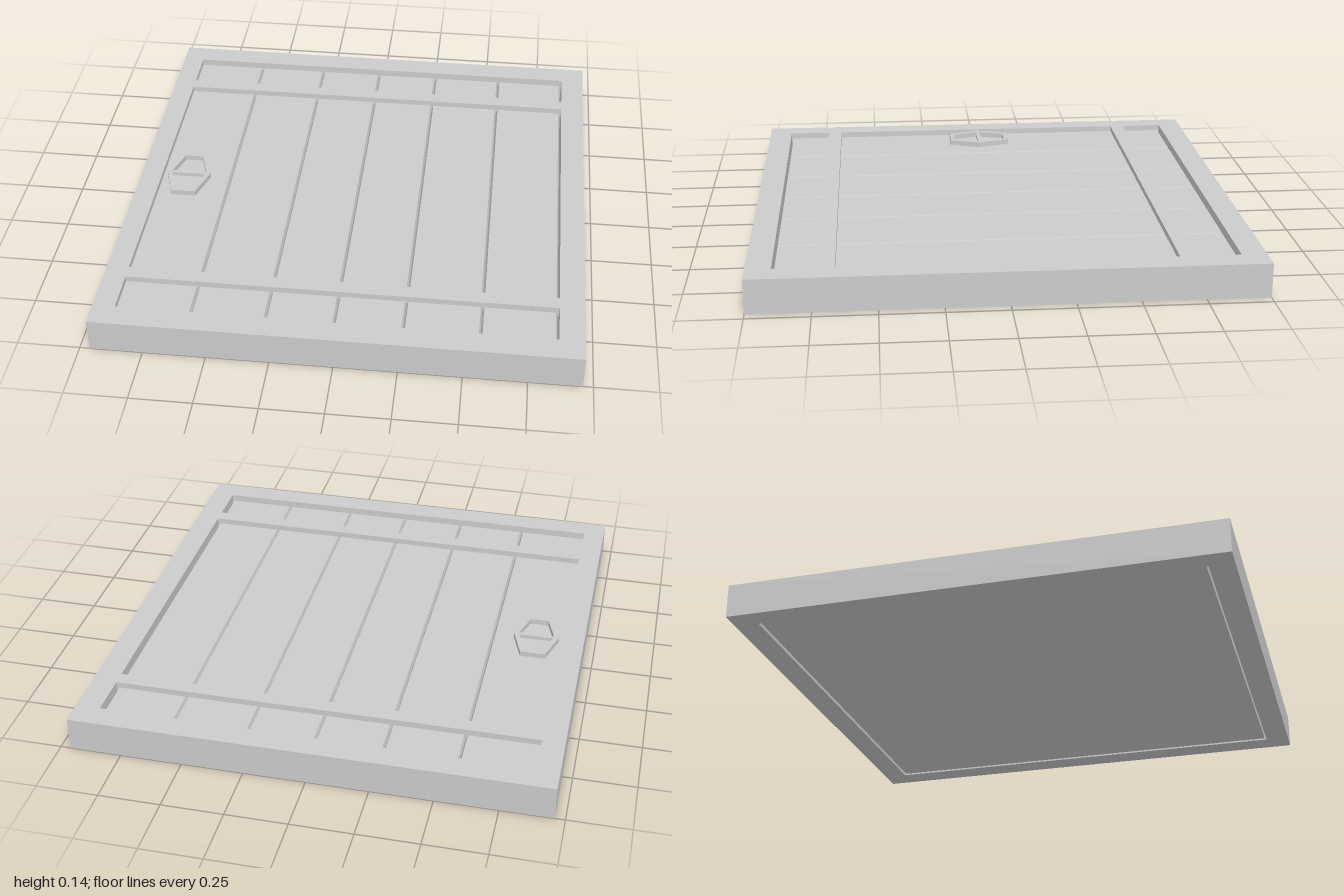
import * as THREE from 'three';

const grey = new THREE.MeshStandardMaterial({ color: 0xcccccc, flatShading: true });

const polygon = (pts, Type = THREE.Shape) => new Type(pts.map(([x, y]) => new THREE.Vector2(x, y)));
const rectangle = (x0, x1, z0, z1) => [[x0, z0], [x1, z0], [x1, z1], [x0, z1]];

// A plan shape (x, z) with holes, raised from y0 to y1
function plate(name, outline, holes, y0, y1) {
  const shape = polygon(outline);
  shape.holes = holes.map((h) => polygon(h, THREE.Path));
  const geo = new THREE.ExtrudeGeometry(shape, { depth: y1 - y0, bevelEnabled: false });
  geo.rotateX(-Math.PI / 2).translate(0, y0, 0);
  const mesh = new THREE.Mesh(geo, grey);
  mesh.name = name;
  return mesh;
}

export function createModel() {
  const model = new THREE.Group();
  model.name = 'trapdoor';
  const height = 0.14, plankTop = 0.115;

  // Border frame and its two cross battens share one level top
  model.add(plate('frame', rectangle(-0.96, 0.96, -1, 1),
    [rectangle(-0.87, 0.86, -0.9, 0.9)], 0, height));
  for (const side of [-1, 1]) {
    const batten = new THREE.Mesh(new THREE.BoxGeometry(1.73, height - plankTop + 0.02, 0.06), grey);
    batten.name = side < 0 ? 'backBatten' : 'frontBatten';
    batten.position.set(-0.005, height - (height - plankTop + 0.02) / 2, side * 0.69);
    model.add(batten);
  }

  // Planks: one flat-backed panel with V grooves along the joints
  const joints = [-0.575, -0.28, -0.01, 0.26, 0.56];
  const bottom = 0.005, groove = 0.007, depth = 0.018;
  const section = [[-0.87, bottom], [0.855, bottom], [0.855, plankTop - depth], [0.848, plankTop]];
  for (const x of [...joints].reverse()) {
    section.push([x + groove, plankTop], [x, plankTop - depth], [x - groove, plankTop]);
  }
  section.push([-0.87, plankTop]);
  const planks = new THREE.Mesh(
    new THREE.ExtrudeGeometry(polygon(section), { depth: 1.784, bevelEnabled: false }).translate(0, 0, -0.892), grey);
  planks.name = 'planks';
  model.add(planks);

  // Six-sided pull ring with a bar across its middle
  const handle = new THREE.Group();
  handle.name = 'handle';
  handle.position.x = -0.757;
  const hexagon = (point, half, end) =>
    [[point, 0], [half, end], [-half, end], [-point, 0], [-half, -end], [half, -end]];
  handle.add(plate('ring', hexagon(0.096, 0.052, 0.137), [hexagon(0.076, 0.038, 0.117)], plankTop - 0.005, height - 0.002));
  const bar = new THREE.Mesh(new THREE.BoxGeometry(0.16, 0.016, 0.016), grey);
  bar.name = 'handleBar';
  bar.position.y = 0.128;
  handle.add(bar);
  model.add(handle);

  return model;
}
